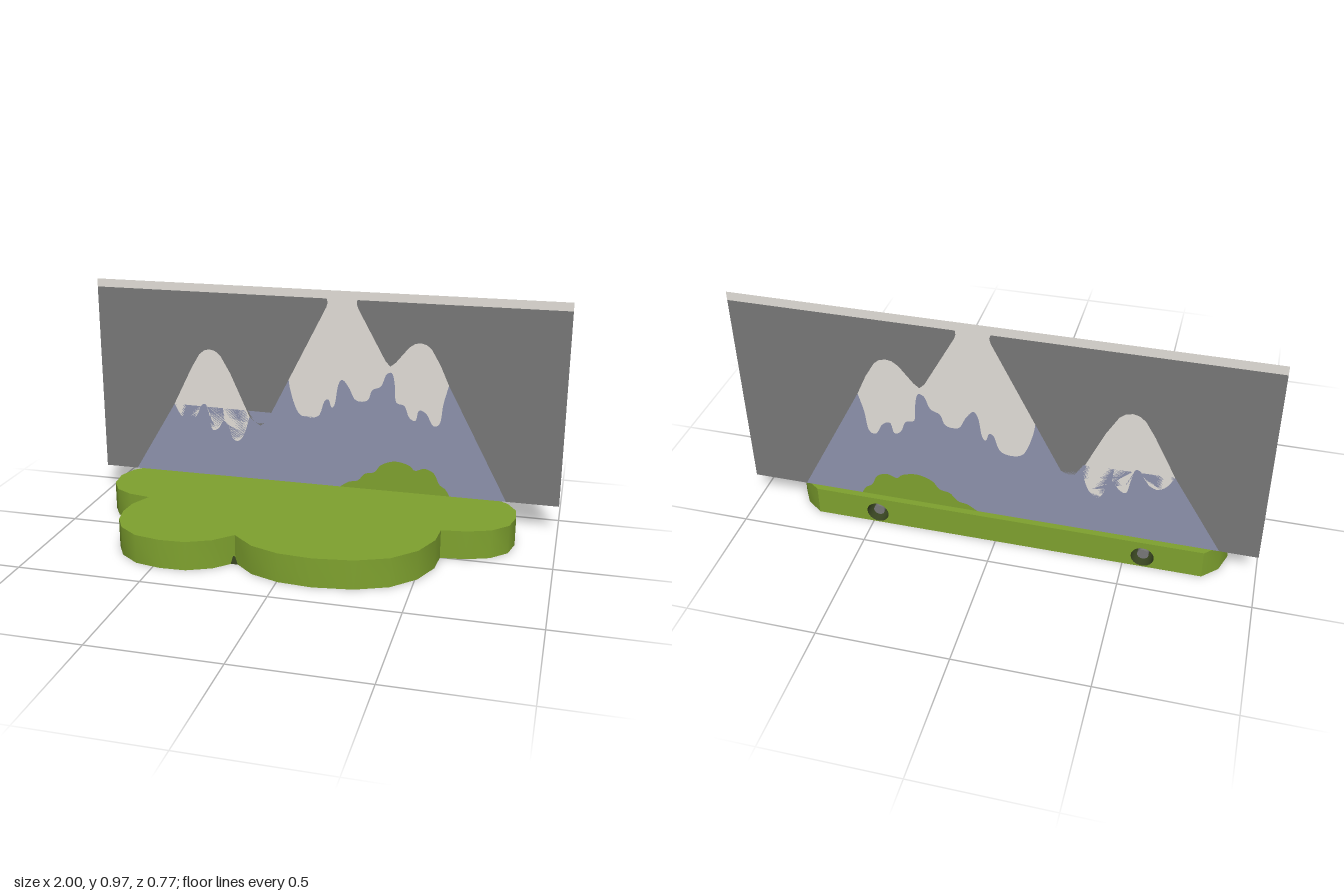
import * as THREE from 'three';
import { toCreasedNormals } from 'three/addons/utils/BufferGeometryUtils.js';

const mat = (name, color, side = THREE.FrontSide) => {
  const m = new THREE.MeshStandardMaterial({ color, side });
  m.name = name;
  return m;
};

const H = 0.118;      // base height
const BACK = -0.385;  // flat rear face of the base
const PANEL_Z = -0.36;
const TOP = 0.935;    // underside of the pale top strip

// Lobed base outline as [x, z]; the first two points are the flat rear edge
const outline = [
  [-0.802, BACK], [0.729, BACK], [0.794, -0.338], [0.831, -0.275], [0.839, -0.195], [0.819, -0.107],
  [0.755, -0.043], [0.664, -0.009], [0.564, 0.004], [0.557, 0.104], [0.509, 0.219], [0.419, 0.311],
  [0.294, 0.364], [0.139, 0.385], [0.004, 0.374], [-0.111, 0.332], [-0.201, 0.251], [-0.271, 0.321],
  [-0.366, 0.364], [-0.469, 0.369], [-0.576, 0.348], [-0.656, 0.289], [-0.699, 0.214], [-0.715, 0.134],
  [-0.71, 0.049], [-0.672, -0.036], [-0.763, -0.053], [-0.833, -0.091], [-0.876, -0.162],
  [-0.887, -0.253], [-0.86, -0.33],
];

// Ridge lines of the mountains, left to right, as [x, y]
const leftFoot = [-0.855, H], rightFoot = [0.784, H];
const leftPeak = [[-0.667, 0.433], [-0.584, 0.6], [-0.547, 0.663], [-0.524, 0.682], [-0.5, 0.688],
  [-0.475, 0.682], [-0.452, 0.663], [-0.409, 0.588], [-0.325, 0.4]];
const saddle = [[-0.302, 0.378], [-0.276, 0.364], [-0.248, 0.385]];
const mainLeft = [[-0.15, 0.578], [0.012, 0.9], [0.017, 0.92], [0.012, TOP]];
const mainRight = [[0.141, TOP], [0.139, 0.918], [0.145, 0.9], [0.264, 0.685], [0.284, 0.665], [0.306, 0.683],
  [0.36, 0.75], [0.384, 0.767], [0.408, 0.771], [0.433, 0.764], [0.453, 0.747], [0.49, 0.684], [0.528, 0.6]];

const smooth = (pts, n) => new THREE.SplineCurve(pts.map(([x, y]) => new THREE.Vector2(x, y)))
  .getPoints(n).map((p) => [p.x, p.y]);

// Melting lower edges of the snow caps, left to right
const leftSnowline = smooth([leftPeak[0], [-0.64, 0.385], [-0.607, 0.364], [-0.566, 0.387], [-0.544, 0.433],
  [-0.522, 0.439], [-0.508, 0.385], [-0.495, 0.328], [-0.466, 0.337], [-0.443, 0.372], [-0.421, 0.348],
  [-0.405, 0.298], [-0.382, 0.284], [-0.352, 0.315], leftPeak.at(-1)], 60);
const mainSnowline = smooth([mainLeft[0], [-0.143, 0.535], [-0.124, 0.47], [-0.1, 0.428], [-0.058, 0.417],
  [-0.016, 0.433], [0.005, 0.493], [0.024, 0.503], [0.037, 0.47], [0.052, 0.49], [0.064, 0.567],
  [0.083, 0.594], [0.112, 0.56], [0.14, 0.51], [0.19, 0.512], [0.21, 0.558], [0.247, 0.578], [0.267, 0.628],
  [0.292, 0.636], [0.304, 0.588], [0.311, 0.515], [0.347, 0.5], [0.367, 0.453], [0.395, 0.44],
  [0.408, 0.485], [0.44, 0.472], [0.468, 0.424], [0.497, 0.438], [0.508, 0.52], mainRight.at(-1)], 120);

const bushTop = smooth([[0.078, H], [0.115, 0.143], [0.155, 0.153], [0.185, 0.186], [0.226, 0.197], [0.256, 0.233],
  [0.313, 0.253], [0.372, 0.241], [0.4, 0.219], [0.438, 0.232], [0.48, 0.214], [0.503, 0.168],
  [0.53, 0.148], [0.548, H]], 50);

const toShape = (pts) => new THREE.Shape(pts.map(([x, y]) => new THREE.Vector2(x, y)));
const reversed = (pts) => [...pts].reverse();

// Drops the triangles of the rear and bottom planes, which are made as separate faces
function withoutRearAndBottom(geo) {
  const p = geo.attributes.position, n = geo.attributes.normal, pos = [], nor = [];
  for (let i = 0; i < p.count; i += 3) {
    const corners = [i, i + 1, i + 2];
    if (corners.every((k) => p.getZ(k) < BACK + 1e-4) || corners.every((k) => p.getY(k) < 1e-4)) continue;
    for (const k of corners) {
      pos.push(p.getX(k), p.getY(k), p.getZ(k));
      nor.push(n.getX(k), n.getY(k), n.getZ(k));
    }
  }
  const out = new THREE.BufferGeometry();
  out.setAttribute('position', new THREE.Float32BufferAttribute(pos, 3));
  out.setAttribute('normal', new THREE.Float32BufferAttribute(nor, 3));
  return out;
}

export function createModel() {
  const model = new THREE.Group();
  const green = mat('grass green', 0x7fa22f, THREE.DoubleSide);
  const dark = mat('underside dark green', 0x3a4722, THREE.DoubleSide);
  const grey = mat('sky grey', 0x787878, THREE.DoubleSide);
  const snow = mat('snow', 0xe3dfd9, THREE.DoubleSide);
  const rock = mat('rock blue', 0x8e93ad, THREE.DoubleSide);

  const add = (parent, name, geo, material) => {
    const mesh = new THREE.Mesh(geo, material);
    mesh.name = name;
    parent.add(mesh);
    return mesh;
  };

  // Lobed base with a dark underside
  const base = new THREE.Group();
  base.name = 'base';
  model.add(base);
  const slab = new THREE.ExtrudeGeometry(toShape(outline.map(([x, z]) => [x, -z])), { depth: H, bevelEnabled: false });
  slab.rotateX(-Math.PI / 2);
  add(base, 'baseBody', withoutRearAndBottom(toCreasedNormals(slab, 0.59)), green);
  add(base, 'baseUnderside', new THREE.ShapeGeometry(toShape(outline)).rotateX(Math.PI / 2), dark);

  // Small dark nick at the foot of the front notch
  const nick = toShape([[-0.216, 0], [-0.187, 0], [-0.198, 0.034], [-0.206, 0.034]]);
  add(base, 'notchNick', new THREE.ShapeGeometry(nick), dark).position.z = 0.264;

  // Rear face with two mounting holes, drawn in mirrored x and turned to face back
  const holeX = [0.48, -0.575], holeY = 0.048, holeR = 0.044, holeDepth = 0.06;
  const rear = toShape([[-0.729, 0], [0.802, 0], [0.802, H], [-0.729, H]]);
  for (const x of holeX) rear.holes.push(new THREE.Path().absarc(-x, holeY, holeR, 0, Math.PI * 2, true));
  const rearFace = add(base, 'baseRear', new THREE.ShapeGeometry(rear, 12), green);
  rearFace.rotation.y = Math.PI;
  rearFace.position.z = BACK;

  for (const x of holeX) {
    const hole = new THREE.Group();
    hole.name = 'mountingHole';
    hole.position.set(x, holeY, BACK);
    base.add(hole);
    const wall = new THREE.CylinderGeometry(holeR, holeR, holeDepth, 24, 1, true).rotateX(Math.PI / 2);
    add(hole, 'holeWall', wall, dark).position.z = holeDepth / 2;
    add(hole, 'holeFloor', new THREE.CircleGeometry(holeR, 24), dark).position.z = holeDepth;
    const pin = new THREE.CylinderGeometry(0.022, 0.022, 0.045, 16).rotateX(Math.PI / 2);
    add(hole, 'holePin', pin, grey).position.z = holeDepth - 0.0225;
  }

  // Flat scenery panel, assembled from pieces that share their borders
  const panel = new THREE.Group();
  panel.name = 'panel';
  panel.position.z = PANEL_Z;
  model.add(panel);
  const piece = (name, pts, material) => add(panel, name, new THREE.ShapeGeometry(toShape(pts)), material);

  piece('skyLeftHalf', [[-1, H], leftFoot, ...leftPeak, ...saddle, ...mainLeft, [-1, TOP]], grey);
  piece('skyRightHalf', [...mainRight, rightFoot, [1, H], [1, TOP]], grey);
  piece('topStrip', [[-1, TOP], [1, TOP], [1, 0.97], [-1, 0.97]], snow);
  piece('smallSnowCap', [...leftPeak, ...reversed(leftSnowline).slice(1, -1)], snow);
  piece('mainSnowCap', [...mainLeft, ...mainRight, ...reversed(mainSnowline).slice(1, -1)], snow);
  piece('mountains', [leftFoot, ...leftSnowline, ...saddle, ...mainSnowline, rightFoot, ...reversed(bushTop)], rock);
  piece('bush', bushTop, green);

  return model;
}
